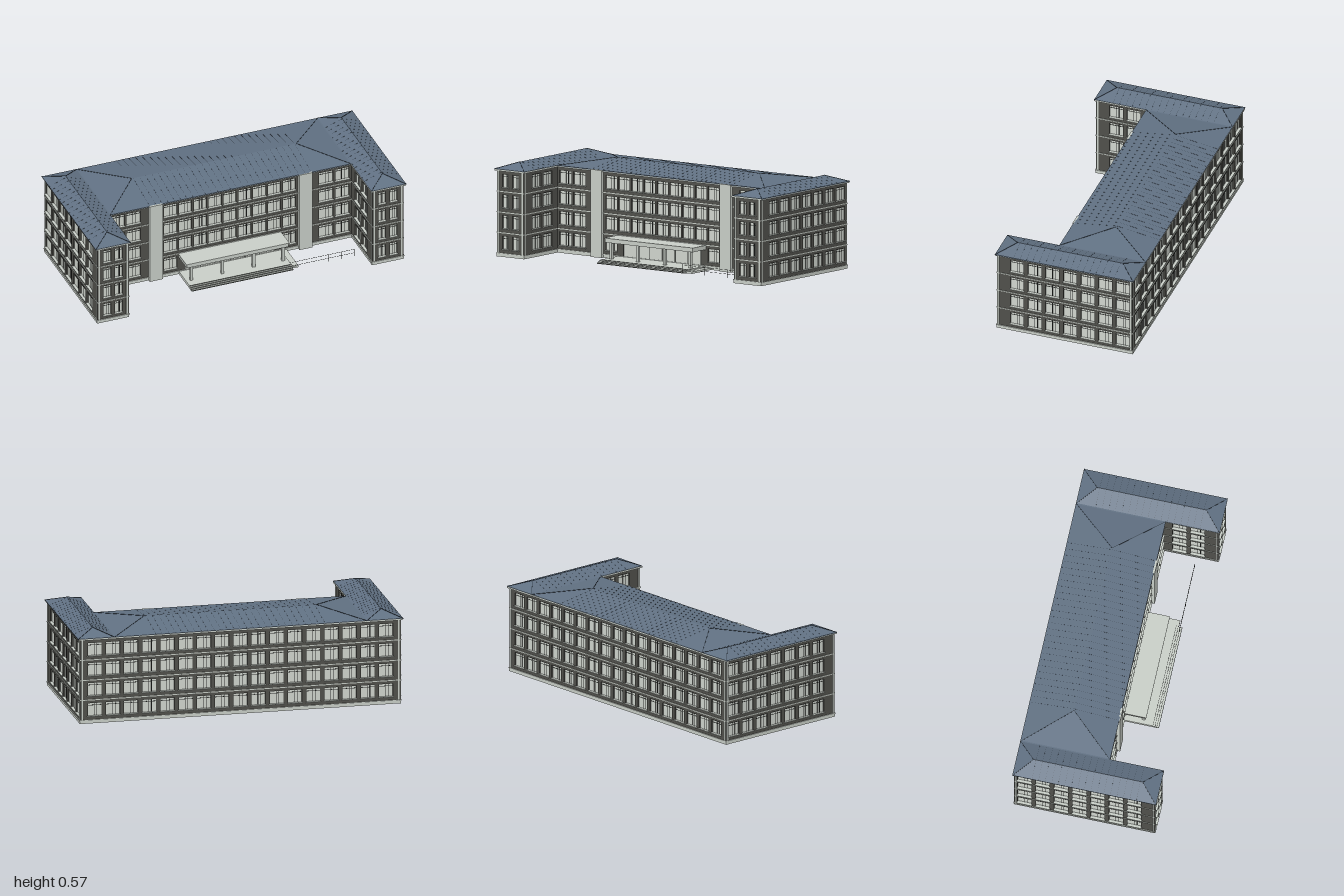
import * as THREE from 'three';
import { mergeGeometries } from 'three/addons/utils/BufferGeometryUtils.js';

const mat = (name, color) => {
  const m = new THREE.MeshStandardMaterial({ color });
  m.name = name;
  return m;
};

export function createModel() {
  const model = new THREE.Group();
  model.name = 'building';
  const M = {
    wall: mat('dark wall', 0x50504b),
    trim: mat('light trim', 0xc8cec7),
    glass: mat('window glass', 0xd0d5ce),
    frame: mat('window frame', 0x2b2d2b),
    roof: mat('slate blue roof', 0x617183),
    seam: mat('roof seam', 0x303a45),
  };
  const mesh = (name, geo, material) => {
    const m = new THREE.Mesh(geo, material);
    m.name = name;
    model.add(m);
    return m;
  };
  const box = (w, h, d, x, y, z) => new THREE.BoxGeometry(w, h, d).translate(x, y, z);

  // U-shaped slab: main block with two wings, grown outwards by o
  const slab = (name, o, y0, y1, material) => {
    const X = 0.985 + o, B = 0.43 + o, I = 0.785 - o, F = 0.095 + o;
    const pts = [[-X, B], [-X, -B], [-I, -B], [-I, -F], [I, -F], [I, -B], [X, -B], [X, B]];
    const shape = new THREE.Shape(pts.map(p => new THREE.Vector2(...p)));
    const geo = new THREE.ExtrudeGeometry(shape, { depth: y1 - y0, bevelEnabled: false });
    return mesh(name, geo.rotateX(-Math.PI / 2).translate(0, y0, 0), material);
  };
  const RECESS = 0.012;
  slab('plinth', 0.003, 0, 0.02, M.trim);
  slab('plinthLedge', 0.006, 0.018, 0.023, M.trim);
  slab('wallCore', -RECESS, 0.02, 0.525, M.wall);
  [0.146, 0.27, 0.396].forEach((y, i) => {
    slab('stringCourse' + (i + 1), 0.004, y - 0.003, y + 0.003, M.trim);
  });
  slab('cornice', 0.011, 0.52, 0.529, M.trim);

  // One wall panel with recessed windows at each centre on four storeys, plus corner strips
  const storeys = [0.046, 0.172, 0.297, 0.421];
  const H = 0.081;
  const rect = (T, x0, x1, y0, y1) =>
    new T([[x0, y0], [x1, y0], [x1, y1], [x0, y1]].map(p => new THREE.Vector2(...p)));
  const facade = (name, pos, angle, span, centres, w, ends, skip = () => false) => {
    const panel = rect(THREE.Shape, span[0], span[1], 0.02, 0.525);
    const parts = { wall: [], glass: [], frame: [], trim: [] };
    storeys.forEach((y, s) => centres.forEach((u, i) => {
      if (skip(s, i)) return;
      const c = y + H / 2, z = -RECESS + 0.002;
      panel.holes.push(rect(THREE.Path, u - w / 2, u + w / 2, y, y + H));
      parts.glass.push(box(w, H, 0.003, u, c, z));
      parts.frame.push(
        box(w, 0.003, 0.006, u, y + H * 0.8, z),
        box(w, 0.004, 0.006, u, y + H - 0.002, z),
        box(0.003, H, 0.006, u - w * 0.02, c, z),
        box(0.003, H, 0.006, u + w * 0.18, c, z));
      parts.trim.push(box(w + 0.008, 0.005, 0.018, u, y - 0.002, 0));
    }));
    parts.wall.push(new THREE.ExtrudeGeometry(panel, { depth: RECESS, bevelEnabled: false })
      .translate(0, 0, -RECESS));
    for (const u of ends) parts.trim.push(box(0.01, 0.5, 0.008, u, 0.272, 0));
    const names = { wall: 'Wall', glass: 'Glass', frame: 'Frames', trim: 'SillsAndStrips' };
    for (const k in parts) {
      const m = mesh(name + names[k], mergeGeometries(parts[k]), M[k]);
      m.position.set(...pos);
      m.rotation.y = angle;
    }
  };
  const row = (n, start, step) => Array.from({ length: n }, (_, i) => start + i * step);
  const sideZ = row(7, 0.304, -0.1122);
  const Q = Math.PI / 2;
  facade('leftSide', [0.985, 0, 0], Q, [-0.43, 0.43], sideZ.map(z => -z), 0.085, [-0.421, 0.421]);
  facade('rightSide', [-0.985, 0, 0], -Q, [-0.43, 0.43], sideZ, 0.085, [-0.421, 0.421]);
  facade('back', [0, 0, -0.43], Math.PI, [-0.985, 0.985], row(17, -0.896, 0.112), 0.085, [-0.974, 0.974]);
  facade('mainFront', [0, 0, 0.095], 0, [-0.48, 0.48], row(9, -0.382, 0.0955), 0.082, [],
    (s, i) => s === 0 && i > 0 && i < 8);
  const sorted = (a, b) => [Math.min(a, b), Math.max(a, b)];
  for (const k of [-1, 1]) {
    const side = k > 0 ? 'left' : 'right';
    facade(side + 'Bay', [k * 0.672, 0, 0.095], 0, sorted(-0.192 * k, 0.113 * k), [-0.052, 0.052], 0.09, []);
    facade(side + 'WingFront', [k * 0.885, 0, 0.43], 0, [-0.1, 0.1], [-0.037, 0.037], 0.046, [-0.089, 0.089]);
    facade(side + 'WingInner', [k * 0.785, 0, 0], -k * Q, sorted(0.095 * k, 0.43 * k),
      [0.192 * k, 0.304 * k], 0.085, [0.421 * k]);
    // Pale stair towers reaching the eaves
    mesh(side + 'StairTower', box(0.084, 0.531, 0.07, k * 0.482, 0.2655, 0.081), M.trim);
  }

  // Hipped roof, ridge along x; L and W are half sizes, r half ridge
  const hip = (L, W, r, y0, y1) => {
    const A = [-L, y0, -W], B = [L, y0, -W], C = [L, y0, W], D = [-L, y0, W];
    const P = [-r, y1, 0], R = [r, y1, 0];
    const tris = [D, C, R, D, R, P, C, B, R, B, A, P, B, P, R, A, D, P, A, B, C, A, C, D];
    const g = new THREE.BufferGeometry();
    g.setAttribute('position', new THREE.Float32BufferAttribute(tris.flat(), 3));
    g.computeVertexNormals();
    return g;
  };
  const EAVE = 0.53, RIDGE = 0.57;
  // Thin bar between two points
  const bar = (a, b, t) => {
    const p = new THREE.Vector3(...a), q = new THREE.Vector3(...b);
    const g = new THREE.BoxGeometry(t, t, p.distanceTo(q));
    const o = new THREE.Object3D();
    o.position.copy(p).add(q).multiplyScalar(0.5);
    o.lookAt(q);
    o.updateMatrix();
    return g.applyMatrix4(o.matrix);
  };
  const seams = [], caps = [];
  const mz = -0.165, mL = 0.777, mW = 0.275, mr = 0.53;
  mesh('mainRoof', hip(mL, mW, mr, EAVE, RIDGE).translate(0, 0, mz), M.roof);
  mesh('mainRoofEave', box(2 * mL, 0.004, 2 * mW, 0, EAVE - 0.001, mz), M.roof);
  for (const k of [-1, 1]) for (const f of [-1, 1])
    caps.push(bar([k * mL, EAVE, mz + f * mW], [k * mr, RIDGE, mz], 0.003));
  for (let x = -0.52; x <= 0.521; x += 0.04) for (const f of [-1, 1])
    seams.push(bar([x, EAVE, mz + f * mW], [x, RIDGE, mz], 0.0008));

  for (const k of [-1, 1]) {
    const side = k > 0 ? 'left' : 'right', cx = k * 0.8875;
    mesh(side + 'WingRoof', hip(0.44, 0.1125, 0.335, EAVE, RIDGE).rotateY(Q).translate(cx, 0, 0), M.roof);
    mesh(side + 'WingRoofEave', box(0.225, 0.004, 0.88, cx, EAVE - 0.001, 0), M.roof);
    for (const f of [-1, 1]) for (const e of [-1, 1])
      caps.push(bar([cx + e * 0.1125, EAVE, f * 0.44], [cx, RIDGE, f * 0.335], 0.003));
    for (let z = -0.32; z <= 0.321; z += 0.04) for (const e of [-1, 1])
      seams.push(bar([cx + e * 0.1125, EAVE, z], [cx, RIDGE, z], 0.0008));
  }
  mesh('roofHipCaps', mergeGeometries(caps), M.seam);
  mesh('roofSeams', mergeGeometries(seams), M.seam);

  // Entrance: landing, steps with dark nosings, canopy on columns
  mesh('landing', box(0.695, 0.012, 0.2, 0.0175, 0.006, 0.19), M.trim);
  for (let i = 0; i < 4; i++) {
    const y = 0.005 * (i + 1), z = 0.31 - i * 0.012;
    mesh('step' + (i + 1), box(0.655, 0.005, z - 0.095, -0.0025, y - 0.0025, (z + 0.095) / 2), M.trim);
    mesh('stepNosing' + (i + 1), box(0.655, 0.002, 0.002, -0.0025, y, z), M.frame);
  }
  mesh('canopy', box(0.655, 0.024, 0.14, -0.0025, 0.131, 0.16), M.trim);
  mesh('canopyRim', box(0.663, 0.006, 0.144, -0.0025, 0.143, 0.162), M.trim);
  for (const x of [-0.295, -0.095, 0.105, 0.295])
    mesh('canopyColumn', box(0.018, 0.104, 0.018, x, 0.07, 0.212), M.trim);
  // Glazed entrance wall under the canopy
  mesh('entranceGlass', box(0.58, 0.095, 0.004, 0, 0.068, 0.096), M.glass);
  const bars = row(7, -0.288, 0.096).map(x => box(0.003, 0.095, 0.008, x, 0.068, 0.096));
  bars.push(box(0.58, 0.005, 0.008, 0, 0.114, 0.096));
  mesh('entranceFrames', mergeGeometries(bars), M.frame);

  // Thin handrail beside the steps
  const rail = [0.05, 0.025].map(y => box(0.42, 0.0015, 0.0015, 0.51, y, 0.3));
  for (const x of row(6, 0.3, 0.084)) rail.push(box(0.0015, 0.05, 0.0015, x, 0.026, 0.3));
  mesh('handrail', mergeGeometries(rail), M.frame);
  return model;
}
